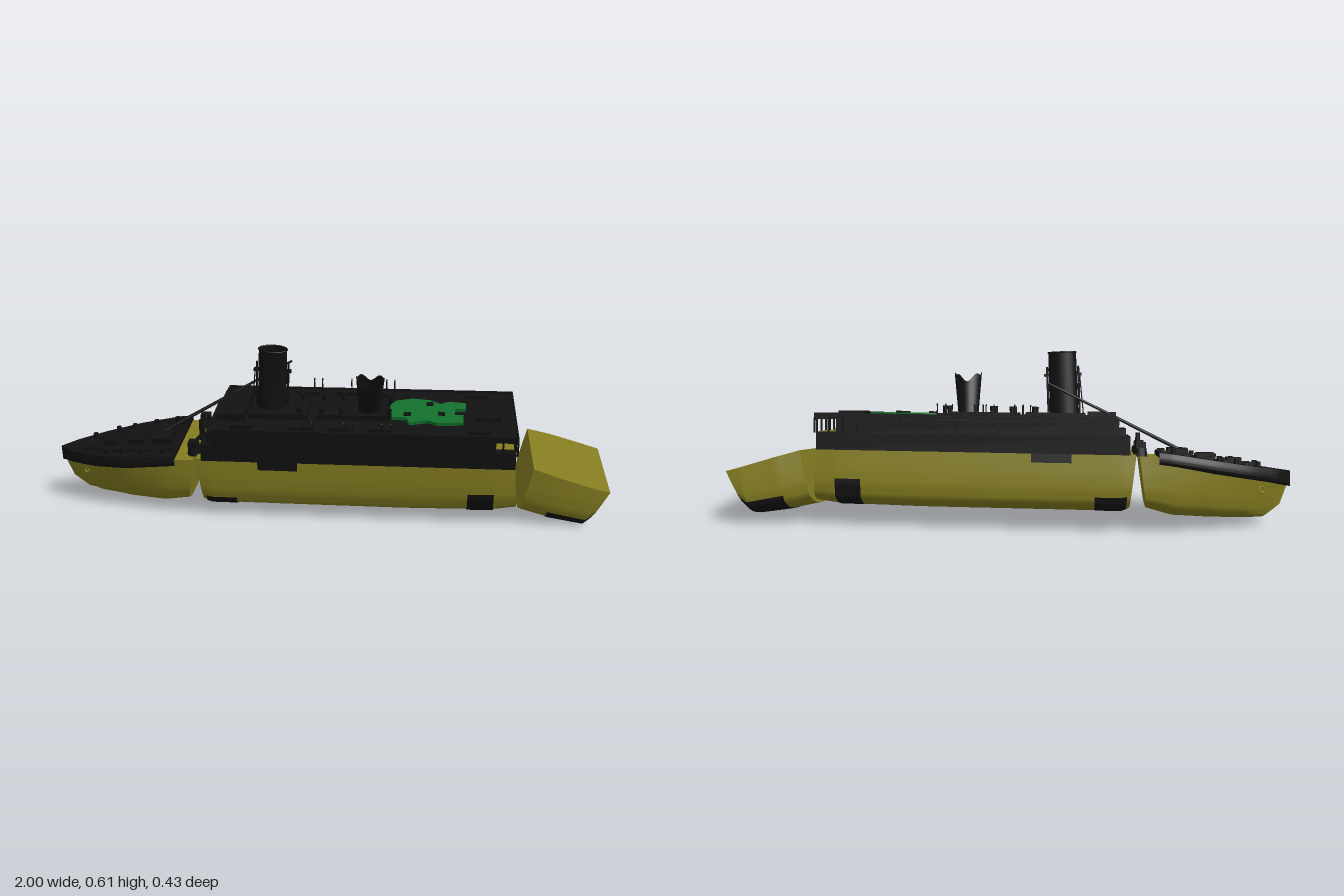
import * as THREE from 'three';

const mat = (color) => new THREE.MeshStandardMaterial({ color, side: THREE.DoubleSide });
const dark = mat(0x111111), yellow = mat(0x827b20), green = mat(0x12702c);

// Half hull section (across, up), mirrored to 13 points running left to right
const half = [[0.97, 1], [1, 0.65], [1, 0.4], [0.93, 0.17], [0.66, 0.06], [0.3, 0.01], [0, 0]];
const section = [...half, ...half.slice(0, 6).reverse().map(([a, b]) => [-a, b])];
const lerp = THREE.MathUtils.lerp;

// Stations: [x at top, x at bottom, half width, bottom y, deck y, taper toward the keel]
const bowStations = [
  [-1, -0.965, 0.004, 0.07, 0.175, 1], [-0.95, -0.91, 0.048, 0.025, 0.18, 0.8],
  [-0.85, -0.85, 0.103, 0.02, 0.192, 0.5], [-0.72, -0.72, 0.148, 0.02, 0.21, 0.25],
  [-0.58, -0.58, 0.17, 0.025, 0.23, 0.1], [-0.463, -0.49, 0.172, 0.05, 0.235, 0]];
const midStations = [
  [-0.452, -0.43, 0.172, 0.045, 0.242, 0], [-0.4, -0.4, 0.177, 0.035, 0.242, 0],
  [-0.1, -0.1, 0.18, 0.035, 0.242, 0], [0.3, 0.3, 0.182, 0.035, 0.242, 0],
  [0.6, 0.6, 0.178, 0.04, 0.242, 0], [0.67, 0.685, 0.168, 0.05, 0.242, 0]];
const sternStations = [
  [0.735, 0.69, 0.165, 0.04, 0.235, 0], [0.82, 0.79, 0.177, 0.018, 0.21, 0],
  [0.95, 0.91, 0.178, 0, 0.17, 0], [1, 0.93, 0.172, 0.03, 0.156, 0]];

// Point on a hull: u counts stations, k counts section points
function hullPoint(stations, u, k, grow = 0) {
  const i = Math.min(Math.floor(u), stations.length - 2), j = Math.min(Math.floor(k), 11);
  const [xt, xb, w, yb, yt, taper] = stations[i].map((a, n) => lerp(a, stations[i + 1][n], u - i));
  const a = lerp(section[j][0], section[j + 1][0], k - j), v = lerp(section[j][1], section[j + 1][1], k - j);
  return [lerp(xb, xt, v), lerp(yb, yt, v) - grow * (1 - v), a * lerp(1, v, taper) * (w + grow)];
}

// Grid surface from a point rule
function grid(name, nu, nk, point, material) {
  const pos = [], idx = [];
  for (let i = 0; i <= nu; i++) for (let j = 0; j <= nk; j++) {
    pos.push(...point(i / nu, j / nk));
    if (i < nu && j < nk) {
      const a = i * (nk + 1) + j, b = a + nk + 1;
      idx.push(a, a + 1, b, b, a + 1, b + 1);
    }
  }
  const g = new THREE.BufferGeometry();
  g.setAttribute('position', new THREE.Float32BufferAttribute(pos, 3));
  g.setIndex(idx);
  g.computeVertexNormals();
  const m = new THREE.Mesh(g, material);
  m.name = name;
  return m;
}
const plating = (name, s, u0, u1, k0, k1, material, grow = 0) =>
  grid(name, 24, 36, (a, b) => hullPoint(s, lerp(u0, u1, a), lerp(k0, k1, b), grow), material);

// Flat closure across a section, between mirrored section points k and 12 - k
const bulkhead = (name, s, u, k0, material, push = 0) =>
  grid(name, 12, 1, (a, b) => {
    const k = lerp(k0, 6, a), p = hullPoint(s, u, b ? 12 - k : k);
    return [p[0] + push, p[1], p[2]];
  }, material);

function hull(name, s, material) {
  const g = new THREE.Group(), n = s.length - 1;
  g.name = name;
  g.add(plating('shellPlating', s, 0, n, 0, 12, material),
    grid('deckPlating', n * 2, 1, (a, b) => hullPoint(s, a * n, b * 12), material),
    bulkhead('forwardBulkhead', s, 0, 0, material), bulkhead('aftBulkhead', s, n, 0, material));
  return g;
}

function put(parent, name, geometry, x, y, z, material = dark) {
  const m = new THREE.Mesh(geometry, material);
  m.name = name;
  m.position.set(x, y, z);
  parent.add(m);
  return m;
}
// Box given by x range, y range, centre z and depth
const block = (p, name, x0, x1, y0, y1, z, d, material) =>
  put(p, name, new THREE.BoxGeometry(x1 - x0, y1 - y0, d), (x0 + x1) / 2, (y0 + y1) / 2, z, material);

function rod(parent, name, a, b, r, r2 = r) {
  const A = new THREE.Vector3(...a), d = new THREE.Vector3(...b).sub(A);
  const m = put(parent, name, new THREE.CylinderGeometry(r2, r, d.length(), 8), 0, 0, 0);
  m.position.copy(A).addScaledVector(d, 0.5);
  m.quaternion.setFromUnitVectors(new THREE.Vector3(0, 1, 0), d.normalize());
}

export function createModel() {
  const model = new THREE.Group(), rolled = new THREE.Group(), ship = new THREE.Group();
  model.name = 'shipwreck';
  rolled.name = 'listingWreck';
  ship.name = 'ship';
  rolled.rotation.x = 0.18;
  rolled.position.y = 0.004;
  ship.position.z = -0.048;
  rolled.add(ship);
  model.add(rolled);

  // Three broken hull sections
  ship.add(hull('bowHull', bowStations, yellow), hull('midHull', midStations, yellow), hull('sternHull', sternStations, yellow));

  // Dark torn plates, the same on both sides
  for (const [u0, u1, k0, k1] of [[0.4, 1.3, 2.5, 4.6], [3.7, 4.02, 1.6, 4.6], [1.57, 2.03, 0, 0.45]])
    for (const f of [(k) => k, (k) => 12 - k])
      ship.add(plating('hullPatch', midStations, u0, u1, f(k0), f(k1), dark, 0.003));
  ship.add(plating('sternBottom', sternStations, 0.9, 3, 2.5, 9.5, dark, 0.002),
    bulkhead('sternCounter', sternStations, 3, 2.2, dark, 0.002));

  // Forecastle deck with its fittings
  const fore = bowStations.slice(0, 5).map(([x, , w, , y]) => [x, x, w * 1.015, y - 0.04, y + 0.015, 0]);
  fore.push([-0.53, -0.53, 0.174, 0.195, 0.25, 0]);
  ship.add(hull('forecastle', fore, dark));
  const deckY = (x) => 0.19 + (x + 1) * 0.128;
  for (const [x, w, d, h] of [[-0.6, 0.07, 0.13, 0.022], [-0.7, 0.06, 0.09, 0.02], [-0.8, 0.05, 0.06, 0.018]])
    block(ship, 'foreHatch', x - w / 2, x + w / 2, deckY(x) - 0.02, deckY(x) + h, 0, d);
  for (const s of [-1, 1]) {
    for (const [x, z] of [[-0.88, 0.05], [-0.8, 0.09], [-0.74, 0.1], [-0.66, 0.12], [-0.58, 0.13]]) {
      put(ship, 'bollard', new THREE.CylinderGeometry(0.009, 0.009, 0.03, 10), x, deckY(x) + 0.002, s * z);
      block(ship, 'winch', x + 0.018, x + 0.045, deckY(x) - 0.015, deckY(x) + 0.013, s * z * 0.85, 0.028);
    }
    // Hawse holes
    const p = hullPoint(bowStations, 1.5, s > 0 ? 1.1 : 10.9, 0.002);
    const ring = put(ship, 'hawseHole', new THREE.TorusGeometry(0.011, 0.004, 8, 16), ...p, yellow);
    ring.rotation.y = -s * 0.5;
    // Well deck cranes
    put(ship, 'craneBase', new THREE.CylinderGeometry(0.022, 0.026, 0.03, 14), -0.465, 0.25, s * 0.115);
    block(ship, 'craneCab', -0.485, -0.45, 0.262, 0.285, s * 0.115, 0.035);
    rod(ship, 'craneJib', [-0.465, 0.28, s * 0.115], [-0.46, 0.26, s * 0.02], 0.007);
  }
  rod(ship, 'wellDeckPost', [-0.46, 0.23, 0], [-0.46, 0.315, 0], 0.012, 0.008);

  // Superstructure, stepped forward and open under the roof aft
  block(ship, 'lowerHouse', -0.43, 0.67, 0.24, 0.303, 0, 0.358);
  block(ship, 'promenadeHouse', -0.385, 0.6, 0.3, 0.352, 0, 0.36);
  block(ship, 'boatDeck', -0.39, 0.675, 0.348, 0.362, 0, 0.386);
  block(ship, 'bridgeFront', -0.415, -0.37, 0.3, 0.33, 0, 0.3);
  block(ship, 'aftDeckFloor', 0.602, 0.664, 0.3, 0.306, 0, 0.3, yellow);
  for (const s of [-1, 1]) {
    block(ship, 'promenadeWall', -0.39, 0.56, 0.302, 0.35, s * 0.19, 0.006);
    block(ship, 'deckBulwark', -0.385, 0.675, 0.36, 0.37, s * 0.19, 0.004);
    for (let x = -0.38; x < 0.7; x += 0.05) block(ship, 'promenadePost', x, x + 0.006, 0.3, 0.352, s * 0.191, 0.008);
    // Davits and lifeboat chocks
    for (const x of [-0.06, -0.03, 0.08, 0.11, 0.21, 0.24]) {
      rod(ship, 'davit', [x, 0.36, s * 0.182], [x, 0.4, s * 0.182], 0.0025);
      rod(ship, 'davitArm', [x, 0.4, s * 0.182], [x, 0.407, s * 0.192], 0.0025);
    }
    for (const x of [-0.32, -0.12, 0.02, 0.16, 0.5])
      block(ship, 'boatChock', x, x + 0.08, 0.36, 0.375, s * 0.15, 0.03);
  }
  for (let z = -0.18; z < 0.19; z += 0.06) block(ship, 'aftPost', 0.664, 0.67, 0.3, 0.352, z, 0.006);
  block(ship, 'aftRail', 0.671, 0.675, 0.36, 0.37, 0, 0.386);

  // Deckhouses and ventilators along the middle
  block(ship, 'wheelhouse', -0.38, -0.28, 0.36, 0.388, 0, 0.2);
  block(ship, 'funnelHouse', -0.27, -0.06, 0.36, 0.382, 0, 0.16);
  block(ship, 'middleHouse', -0.03, 0.22, 0.36, 0.38, 0, 0.14);
  block(ship, 'aftHouse', 0.53, 0.62, 0.36, 0.378, 0, 0.12);
  for (const x of [-0.09, -0.01, 0.06, 0.23]) for (const s of [-1, 1])
    put(ship, 'ventilator', new THREE.CylinderGeometry(0.009, 0.007, 0.045, 10), x, 0.38, s * 0.06);

  // Collapsed green deck area
  const outline = [[0.23, -0.06], [0.29, -0.06], [0.3, -0.1], [0.36, -0.08], [0.4, -0.1], [0.49, -0.09], [0.49, -0.03],
    [0.46, -0.03], [0.46, 0.02], [0.5, 0.02], [0.5, 0.07], [0.44, 0.08], [0.41, 0.06], [0.37, 0.09], [0.31, 0.1], [0.25, 0.08], [0.23, 0.04]];
  const sheet = new THREE.Shape(outline.map(([x, z]) => new THREE.Vector2(x, z)));
  const greenGeo = new THREE.ExtrudeGeometry(sheet, { depth: 0.012, bevelEnabled: false }).rotateX(-Math.PI / 2);
  put(ship, 'collapsedDeck', greenGeo, 0, 0.362, 0, green);
  for (const [x, z] of [[0.28, 0.04], [0.36, -0.05], [0.4, 0.03]])
    block(ship, 'deckWreckage', x, x + 0.025, 0.37, 0.38, z, 0.02);

  // Standing funnel: oval open tube with a rim and steam pipes
  const funnel = new THREE.Group();
  funnel.name = 'forwardFunnel';
  funnel.position.set(-0.195, 0.36, 0.004);
  funnel.rotation.z = -0.05;
  const tube = put(funnel, 'funnelTube', new THREE.CylinderGeometry(0.05, 0.052, 0.243, 28, 1, true), 0, 0.1215, 0);
  const rim = put(funnel, 'funnelRim', new THREE.TorusGeometry(0.05, 0.003, 8, 28).rotateX(Math.PI / 2), 0, 0.24, 0);
  const floor = put(funnel, 'funnelFloor', new THREE.CylinderGeometry(0.05, 0.05, 0.01, 28), 0, 0.06, 0);
  for (const m of [tube, rim, floor]) m.scale.z = 0.7;
  for (const s of [-1, 1]) {
    rod(funnel, 'steamPipe', [s * 0.056, 0, 0], [s * 0.056, 0.19, 0], 0.004);
    block(funnel, 'pipeBracket', s * 0.055 - 0.012, s * 0.055 + 0.012, 0.155, 0.165, 0, 0.014);
  }
  rod(funnel, 'signalPole', [-0.07, 0, 0.02], [-0.06, 0.16, 0.02], 0.002);
  ship.add(funnel);

  // Broken funnel: leaning, flared, with a torn top edge
  const torn = new THREE.CylinderGeometry(0.05, 0.036, 0.17, 32, 6, true);
  const p = torn.attributes.position;
  for (let i = 0; i < p.count; i++) {
    const a = Math.atan2(p.getZ(i), p.getX(i)), t = (p.getY(i) + 0.085) / 0.17;
    p.setY(i, t * (0.15 + 0.018 * Math.cos(2 * a) + 0.009 * Math.sin(5 * a)));
    p.setZ(i, p.getZ(i) * 0.78);
  }
  torn.computeVertexNormals();
  const stump = put(ship, 'brokenFunnel', torn, 0.155, 0.362, 0.012);
  stump.rotation.set(0.27, 0, -0.05);

  // Fallen mast lying back over the bridge
  rod(model, 'fallenMast', [-0.6, 0.272, -0.012], [-0.14, 0.52, -0.125], 0.007, 0.004);
  return model;
}
